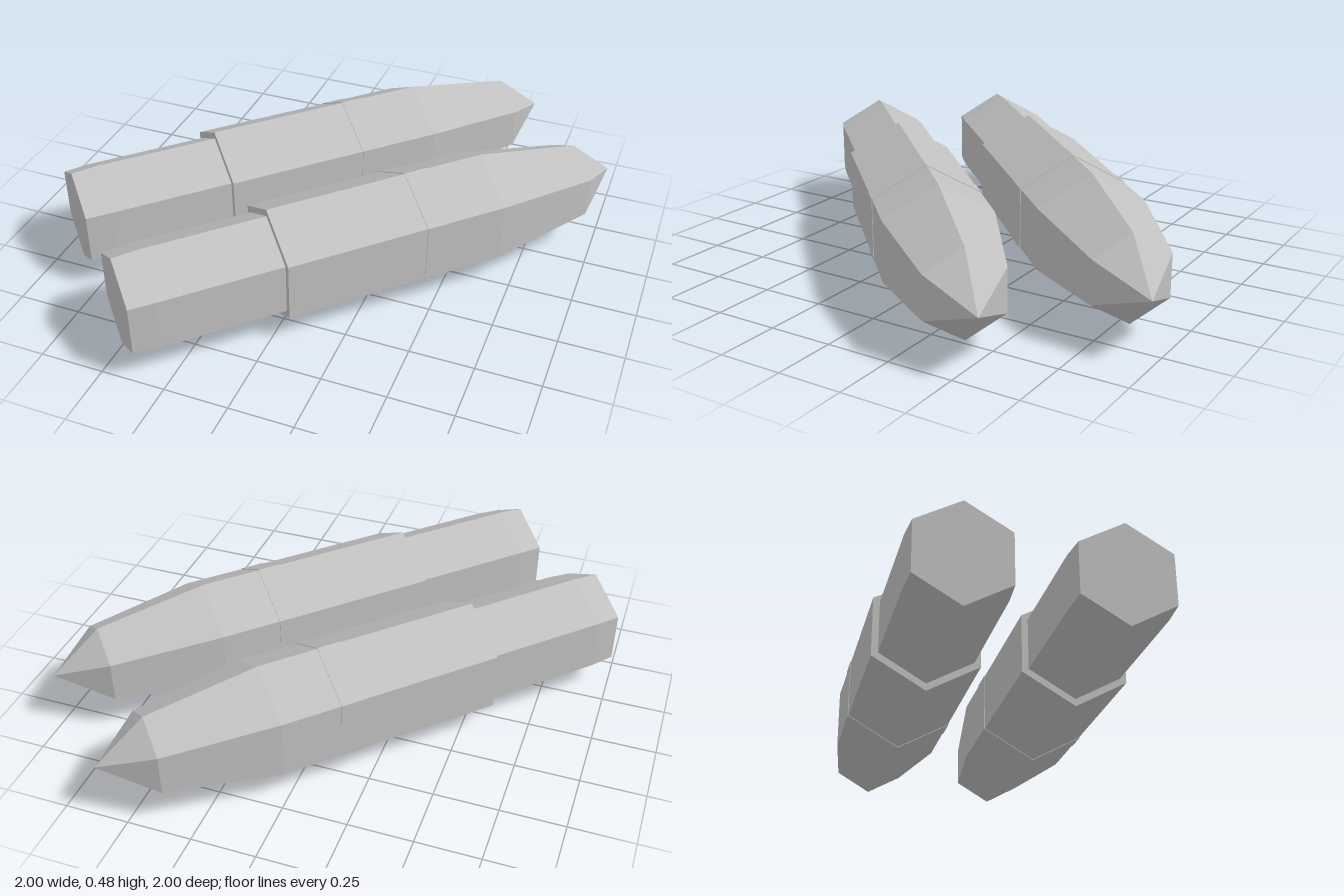
import * as THREE from 'three';

// Parts of one six-sided shell as [radius, distance along the axis]
const PARTS = {
  rearCase: [[0, 0], [0.199, 0], [0.207, 0.1], [0.207, 0.58]],
  body: [[0.207, 0.58], [0.236, 0.58], [0.236, 1.138]],
  jointBand: [[0.236, 1.138], [0.239, 1.138], [0.239, 1.23], [0.236, 1.23]],
  nose: [[0.236, 1.23], [0.236, 1.464], [0.163, 1.9]],
  tip: [[0.163, 1.9], [0, 2.093]],
};

export function createModel() {
  const metal = new THREE.MeshStandardMaterial({ color: 0xc0c0c0, flatShading: true });
  metal.name = 'light grey';

  const model = new THREE.Group();
  model.name = 'shellPair';

  // Two parallel shells lying diagonally, ridge upward
  [['rightShell', -0.88, 0.48], ['leftShell', -0.48, 0.88]].forEach(([name, x, z]) => {
    const shell = new THREE.Group();
    shell.name = name;
    for (const [part, profile] of Object.entries(PARTS)) {
      const points = profile.map(([r, t]) => new THREE.Vector2(r, t));
      const geometry = new THREE.LatheGeometry(points, 6);
      geometry.rotateX(-Math.PI / 2); // axis now runs to -z, a corner points up
      const mesh = new THREE.Mesh(geometry, metal);
      mesh.name = part;
      shell.add(mesh);
    }
    shell.rotation.y = -Math.PI / 4;
    shell.position.set(x, 0.239, z);
    model.add(shell);
  });
  return model;
}
